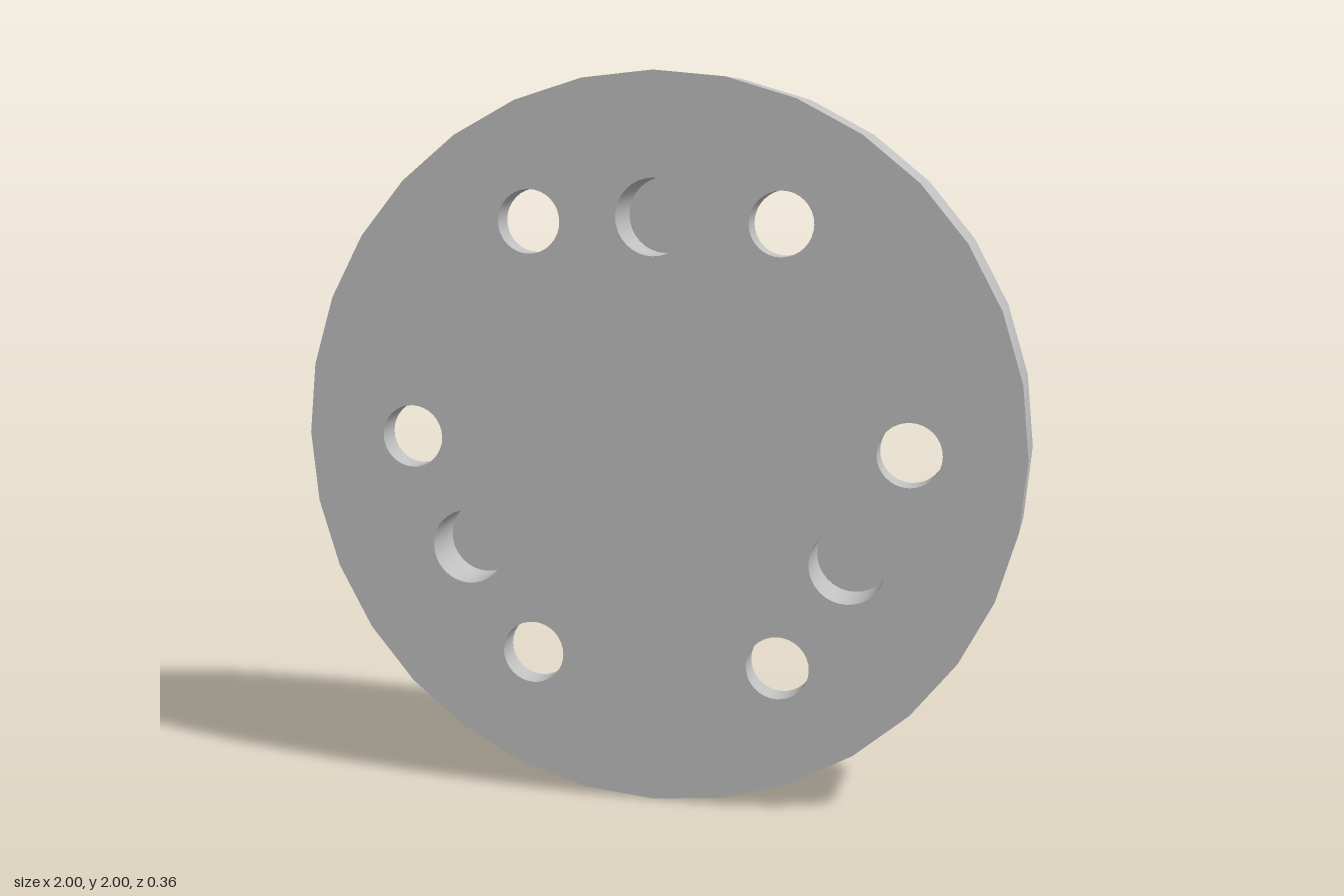
import * as THREE from 'three';
import { toCreasedNormals } from 'three/addons/utils/BufferGeometryUtils.js';

const SIDES = 32;
const FRONT = 0.18, BACK = -0.05, BOSS_END = -0.18;
const BOSS_R = 0.305;

// n points evenly spread on a circle of radius r
const ringOf = (n, r, start) => Array.from({ length: n }, (_, i) => {
  const a = start + (i / n) * Math.PI * 2;
  return [r * Math.cos(a), r * Math.sin(a)];
});

export function createModel() {
  const model = new THREE.Group();
  model.name = 'flange';
  const grey = new THREE.MeshStandardMaterial({ color: 0xc0c0c0 });
  grey.name = 'grey metal';

  const add = (name, geometry, x = 0, y = 0) => {
    const mesh = new THREE.Mesh(geometry, grey);
    mesh.name = name;
    mesh.position.set(x, y + 1, 0);
    model.add(mesh);
  };

  // Surface of revolution about z from [radius, z] points
  const turned = (points) => toCreasedNormals(
    new THREE.LatheGeometry(points.map(([r, z]) => new THREE.Vector2(r, z)), SIDES).rotateX(Math.PI / 2),
    0.6
  );

  // Flat disc pierced by [x, y, radius] holes
  const plate = (holes) => {
    const shape = new THREE.Shape().absarc(0, 0, 1, 0, Math.PI * 2, false);
    for (const [x, y, r] of holes) {
      shape.holes.push(new THREE.Path().absarc(x, y, r, 0, Math.PI * 2, true));
    }
    return new THREE.ShapeGeometry(shape, SIDES / 2);
  };

  const boltSpots = ringOf(6, 0.693, 0);
  const frontSpots = ringOf(3, 0.615, Math.PI / 2);
  const backSpots = ringOf(3, 0.52, -Math.PI / 2);
  const boltR = 0.087, boreR = 0.165, frontR = 0.104, backR = 0.064;
  const sized = (spots, r) => spots.map(([x, y]) => [x, y, r]);

  // Disc: two faces and the rim
  add('frontFace', plate([...sized(boltSpots, boltR), ...sized(frontSpots, frontR)])
    .translate(0, 0, FRONT));
  add('backFace', plate([...sized(boltSpots, boreR), ...sized(backSpots, backR), [0, 0, BOSS_R]])
    .rotateY(Math.PI).translate(0, 0, BACK));
  add('rim', turned([[1, BACK], [1, FRONT]]));

  // Round boss on the back
  add('boss', turned([[0, BOSS_END], [BOSS_R, BOSS_END], [BOSS_R, BACK]]));

  // Counterbored bolt holes, wide end at the back
  const ledge = 0.1;
  const boltHole = turned([[boltR, FRONT], [boltR, ledge], [boreR, ledge], [boreR, BACK]]);
  for (const [x, y] of boltSpots) add('boltHole', boltHole, x, y);

  // Blind holes in each face
  const frontHole = turned([[frontR, FRONT], [frontR, 0.03], [0, 0.03]]);
  for (const [x, y] of frontSpots) add('frontPinHole', frontHole, x, y);
  const backHole = turned([[0, 0.1], [backR, 0.1], [backR, BACK]]);
  for (const [x, y] of backSpots) add('backPinHole', backHole, x, y);

  return model;
}
